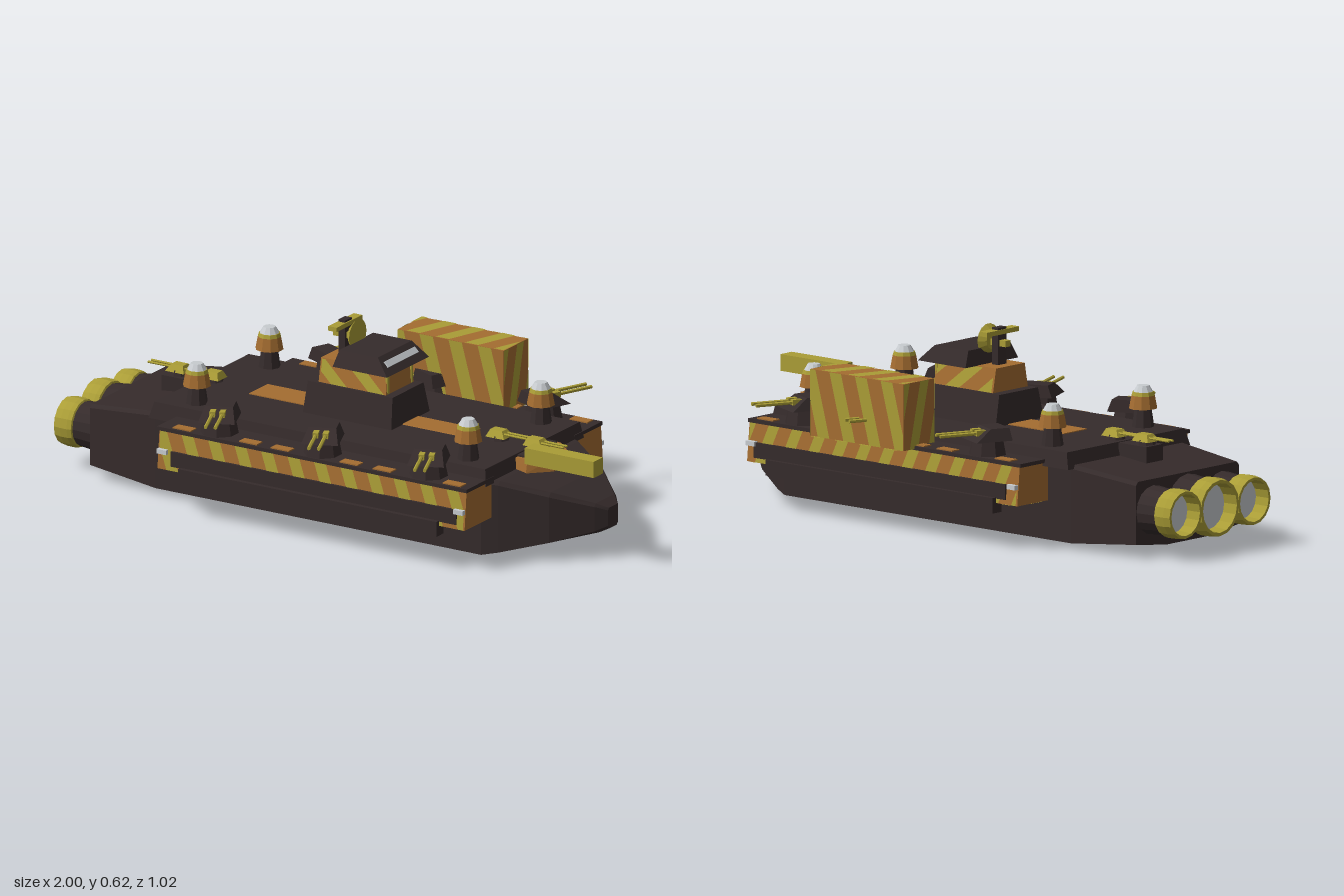
import * as THREE from 'three';

const mat = (name, color) => Object.assign(new THREE.MeshStandardMaterial({ color }), { name });
const hullMat = mat('charcoal', 0x352b2b);
const orange = mat('orange', 0xa46d31);
const yellow = mat('yellow', 0xaa9d36);
const glass = mat('pale grey', 0xc8ccd0);

// Faceted mesh added to a parent
function add(parent, name, geo, material, x = 0, y = 0, z = 0) {
  const g = geo.index ? geo.toNonIndexed() : geo;
  g.computeVertexNormals();
  const m = new THREE.Mesh(g, material);
  m.name = name;
  m.position.set(x, y, z);
  parent.add(m);
  return m;
}
function group(parent, name, x = 0, y = 0, z = 0) {
  const g = new THREE.Group();
  g.name = name;
  g.position.set(x, y, z);
  parent.add(g);
  return g;
}
// Box given by its extents
function block(parent, name, material, x0, x1, y0, y1, z0, z1) {
  return add(parent, name, new THREE.BoxGeometry(x1 - x0, y1 - y0, z1 - z0), material,
    (x0 + x1) / 2, (y0 + y1) / 2, (z0 + z1) / 2);
}
// Skin over equal-sized rings, wound counter-clockwise seen from +x
function loft(rings) {
  const pos = [], n = rings[0].length;
  const tri = (...p) => p.forEach(v => pos.push(...v));
  for (let r = 0; r < rings.length - 1; r++) {
    for (let i = 0; i < n; i++) {
      const j = (i + 1) % n, a = rings[r], b = rings[r + 1];
      tri(a[i], a[j], b[i]);
      tri(a[j], b[j], b[i]);
    }
  }
  const first = rings[0], last = rings[rings.length - 1];
  for (let i = 1; i < n - 1; i++) {
    tri(first[0], first[i + 1], first[i]);
    tri(last[0], last[i], last[i + 1]);
  }
  const g = new THREE.BufferGeometry();
  g.setAttribute('position', new THREE.Float32BufferAttribute(pos, 3));
  return g;
}
// Six-faced solid from two rectangles [x0, x1, z0, z1] at heights y0 and y1
function frustum(parent, name, material, y0, lo, y1, hi) {
  const end = i => [[lo[i], y0, lo[2]], [hi[i], y1, hi[2]], [hi[i], y1, hi[3]], [lo[i], y0, lo[3]]];
  return add(parent, name, loft([end(0), end(1)]), material);
}
// Slanted warning stripes clipped to a w x h rectangle, facing local +z
function stripes(parent, w, h, pos, rot = [0, 0, 0], pitch = 0.11, width = 0.05, lean = -0.06) {
  const shapes = [];
  const cut = (poly, inside, edge) => poly.flatMap((p, i) => {
    const q = poly[(i + 1) % poly.length], out = inside(p) ? [p] : [];
    if (inside(p) !== inside(q)) {
      out.push(new THREE.Vector2(edge, p.y + (q.y - p.y) * (edge - p.x) / (q.x - p.x)));
    }
    return out;
  });
  for (let s = -w / 2 - pitch * 0.7; s < w / 2 + pitch; s += pitch) {
    let poly = [[s, -h / 2], [s + width, -h / 2], [s + width + lean, h / 2], [s + lean, h / 2]]
      .map(p => new THREE.Vector2(...p));
    poly = cut(poly, p => p.x >= -w / 2, -w / 2);
    poly = cut(poly, p => p.x <= w / 2, w / 2);
    if (poly.length > 2) shapes.push(new THREE.Shape(poly));
  }
  const m = add(parent, 'warningStripes', new THREE.ShapeGeometry(shapes), yellow, ...pos);
  m.rotation.set(...rot);
}
const cyl = (r1, r0, h, n, open = false) => new THREE.CylinderGeometry(r1, r0, h, n, 1, open);

// Twin-barrel broadside gun, pointing to +z before it is turned
function broadsideGun(parent, x, side) {
  const g = group(parent, 'broadsideGun', x, 0, side * 0.34);
  g.rotation.y = side > 0 ? 0.4 : Math.PI - 0.4;
  add(g, 'gunBase', cyl(0.052, 0.064, 0.06, 8), hullMat, 0, 0.305, 0);
  frustum(g, 'gunHouse', hullMat, 0.332, [-0.06, 0.06, -0.06, 0.065], 0.372, [-0.045, 0.045, -0.055, 0.01]);
  for (const s of [-1, 1]) {
    add(g, 'barrel', cyl(0.006, 0.006, 0.16, 6), yellow, s * 0.016, 0.356, 0.095).rotation.x = Math.PI / 2;
    block(g, 'breech', yellow, s * 0.016 - 0.009, s * 0.016 + 0.009, 0.348, 0.366, 0.015, 0.05);
  }
}
// Small deck gun, pointing to +x before it is turned
function deckGun(parent, x, y, turn) {
  const g = group(parent, 'deckGun', x, y, 0);
  g.rotation.y = turn;
  add(g, 'mount', cyl(0.026, 0.034, 0.018, 8), hullMat, 0, 0.009, 0);
  frustum(g, 'housing', yellow, 0.012, [-0.035, 0.035, -0.028, 0.028], 0.035, [-0.025, 0.02, -0.016, 0.016]);
  for (const s of [-1, 1]) {
    add(g, 'barrel', cyl(0.004, 0.004, 0.1, 6), yellow, 0.06, 0.024, s * 0.01).rotation.z = Math.PI / 2;
  }
}
function lampTower(parent, x, z) {
  const g = group(parent, 'lampTower', x, 0, z);
  add(g, 'pedestal', cyl(0.027, 0.036, 0.062, 8), hullMat, 0, 0.345, 0);
  add(g, 'collar', cyl(0.038, 0.046, 0.042, 10), orange, 0, 0.397, 0);
  add(g, 'ring', cyl(0.034, 0.038, 0.012, 10), yellow, 0, 0.424, 0);
  add(g, 'lamp', cyl(0.02, 0.032, 0.02, 10), glass, 0, 0.44, 0);
}
function engine(parent, z, r) {
  const g = group(parent, 'engine', -0.85, 0.148, z);
  g.rotation.z = Math.PI / 2;
  add(g, 'engineBody', cyl(r * 0.9, r, 0.09, 16), hullMat, 0, 0.04, 0);
  // Hollow nozzle ring with a rear-facing lip
  const p = [[0.85, 0.08], [0.97, 0.085], [1, 0.1], [1, 0.125], [0.95, 0.15], [0.84, 0.15], [0.8, 0.09]];
  const ring = new THREE.LatheGeometry(p.map(([a, b]) => new THREE.Vector2(a * r, b)).reverse(), 16);
  const m = add(g, 'nozzle', ring, nozzleMat);
  m.castShadow = false;
  add(g, 'exhaustDisc', cyl(r * 0.82, r * 0.82, 0.012, 16), glass, 0, 0.092, 0);
}
const nozzleMat = yellow;
nozzleMat.side = THREE.DoubleSide;

function sponson(parent, s) {
  const g = group(parent, 'sponson');
  const zs = (a, b) => (s > 0 ? [a, b] : [-b, -a]);
  const face = s > 0 ? 0 : Math.PI;
  frustum(g, 'sponsonBody', orange, 0.147, [-0.5, 0.66, ...zs(0.24, 0.41)], 0.274, [-0.5, 0.66, ...zs(0.24, 0.398)]);
  block(g, 'sponsonRoof', hullMat, -0.507, 0.663, 0.272, 0.284, ...zs(0.24, 0.402));
  stripes(g, 1.15, 0.125, [0.08, 0.21, s * 0.4065], [s > 0 ? -0.094 : 0.094, face, 0], 0.1, 0.045, s * -0.05);
  stripes(g, 1.15, 0.12, [0.08, 0.145, s * 0.345], [Math.PI / 2, 0, 0], 0.1, 0.045);
  // Side recess, rail and end lamps
  block(g, 'recessPanel', hullMat, -0.45, 0.63, 0.162, 0.212, ...zs(0.38, 0.4125));
  block(g, 'sideRail', hullMat, -0.41, 0.565, 0.115, 0.165, ...zs(0.385, 0.428));
  for (const x of [-0.48, 0.64]) block(g, 'sideLamp', glass, x - 0.018, x + 0.018, 0.2, 0.215, ...zs(0.4, 0.42));
  for (const x of [-0.42, -0.17, -0.05, 0.21, 0.335, 0.6]) {
    block(g, 'roofPatch', orange, x - 0.034, x + 0.034, 0.28, 0.288, ...zs(0.358, 0.392));
  }
  for (const x of [-0.31, 0.08, 0.48]) broadsideGun(g, x, s);
}

export function createModel() {
  const ship = new THREE.Group();
  ship.name = 'armedShip';

  // Hull: x, top half-width, top y, side half-width, side upper y, side lower y, keel half-width, keel y
  const sections = [
    [-0.86, 0.235, 0.248, 0.245, 0.236, 0.045, 0.1, 0.026],
    [-0.6, 0.255, 0.275, 0.265, 0.262, 0.02, 0.11, 0.002],
    [0.63, 0.255, 0.275, 0.265, 0.262, 0.02, 0.11, 0],
    [0.68, 0.232, 0.268, 0.242, 0.255, 0.03, 0.1, 0.012],
    [0.82, 0.15, 0.232, 0.162, 0.218, 0.065, 0.07, 0.05],
    [0.93, 0.055, 0.188, 0.065, 0.178, 0.096, 0.035, 0.085],
    [0.96, 0.025, 0.17, 0.03, 0.162, 0.11, 0.02, 0.1],
  ];
  add(ship, 'hull', loft(sections.map(([x, zt, yt, z, yu, yl, zb, yb]) => {
    const half = [[x, yb, zb], [x, yl, z], [x, yu, z], [x, yt, zt]];
    return [...half.map(([a, b, c]) => [a, b, -c]), ...half.reverse()];
  })), hullMat);
  frustum(ship, 'deck', hullMat, 0.262, [-0.61, 0.665, -0.29, 0.29], 0.316, [-0.595, 0.655, -0.28, 0.28]);
  frustum(ship, 'aftDeckPatch', orange, 0.31, [-0.38, -0.13, -0.055, 0.055], 0.319, [-0.38, -0.13, -0.055, 0.055]);
  frustum(ship, 'foreDeckPatch', orange, 0.31, [0.19, 0.43, -0.05, 0.05], 0.319, [0.19, 0.43, -0.045, 0.045]);

  // Striped bow locker
  const bow = [[0.64, 0.115], [0.7, 0.11], [0.765, 0.045]];
  add(ship, 'bowLocker', loft(bow.map(([x, z]) =>
    [[x, 0.262, -z], [x, 0.306, -z * 0.9], [x, 0.306, z * 0.9], [x, 0.262, z]])), orange);
  stripes(ship, 0.07, 0.022, [0.767, 0.288, 0], [0, Math.PI / 2, 0], 0.04, 0.018, -0.02);
  block(ship, 'bowLockerLid', hullMat, 0.64, 0.69, 0.3, 0.312, -0.09, 0.09);

  for (const s of [-1, 1]) sponson(ship, s);
  for (const x of [-0.475, 0.55]) for (const z of [-0.215, 0.215]) lampTower(ship, x, z);
  deckGun(ship, -0.55, 0.314, Math.PI);
  deckGun(ship, -0.68, 0.314, Math.PI);
  deckGun(ship, 0.53, 0.314, 0);
  deckGun(ship, 0.67, 0.31, 0);
  block(ship, 'aftGunPlatform', hullMat, -0.72, -0.6, 0.255, 0.315, -0.04, 0.04);

  // Command tower
  const tower = group(ship, 'commandTower');
  frustum(tower, 'towerBase', hullMat, 0.31, [-0.14, 0.195, -0.115, 0.115], 0.417, [-0.135, 0.185, -0.092, 0.092]);
  frustum(tower, 'towerMiddle', orange, 0.415, [-0.1, 0.155, -0.083, 0.083], 0.495, [-0.1, 0.15, -0.068, 0.068]);
  for (const s of [-1, 1]) {
    stripes(tower, 0.24, 0.076, [0.026, 0.455, s * 0.0775], [s * -0.185, s > 0 ? 0 : Math.PI, 0], 0.14, 0.06, -0.09 * s);
    block(tower, 'frontTrim', yellow, 0.148, 0.156, 0.418, 0.492, s * 0.07 - 0.005, s * 0.07 + 0.005);
  }
  frustum(tower, 'bridge', hullMat, 0.494, [-0.02, 0.185, -0.125, 0.125], 0.546, [-0.01, 0.135, -0.1, 0.1]);
  const win = block(tower, 'bridgeWindow', glass, -0.003, 0.003, -0.011, 0.011, -0.09, 0.09);
  win.position.set(0.159, 0.523, 0);
  win.rotation.z = Math.atan2(0.05, 0.052);

  // Radar
  const radar = group(tower, 'radar');
  block(radar, 'radarMast', hullMat, -0.065, -0.04, 0.49, 0.615, -0.02, 0.02);
  block(radar, 'radarBar', yellow, -0.068, -0.036, 0.593, 0.608, -0.076, 0.076);
  block(radar, 'radarArm', yellow, -0.09, -0.01, 0.555, 0.575, -0.012, 0.012);
  const dish = add(radar, 'radarDish', cyl(0.052, 0.03, 0.02, 14), yellow, -0.015, 0.569, 0);
  dish.rotation.z = -Math.PI / 2;

  // Striped cargo container
  const box = group(ship, 'cargoContainer', 0.15, 0.383, -0.38);
  const [w, h, d] = [0.4, 0.216, 0.144];
  block(box, 'containerBody', orange, -w / 2, w / 2, -h / 2, h / 2, -d / 2, d / 2);
  const e = 0.002, q = Math.PI / 2;
  stripes(box, w, h, [0, 0, d / 2 + e]);
  stripes(box, w, h, [0, 0, -d / 2 - e], [0, Math.PI, 0]);
  stripes(box, w, d, [0, h / 2 + e, 0], [-q, 0, 0], 0.11, 0.05, 0.05);
  stripes(box, w, d, [0, -h / 2 - e, 0], [q, 0, 0]);
  stripes(box, d, h, [w / 2 + e, 0, 0], [0, q, 0], 0.09, 0.04, 0.05);
  stripes(box, d, h, [-w / 2 - e, 0, 0], [0, -q, 0], 0.09, 0.04, 0.05);

  // Detached bow beam
  block(ship, 'bowBeam', yellow, 0.74, 1, 0.321, 0.375, 0.124, 0.179);

  engine(ship, 0, 0.096);
  for (const s of [-1, 1]) engine(ship, s * 0.163, 0.081);
  return ship;
}
